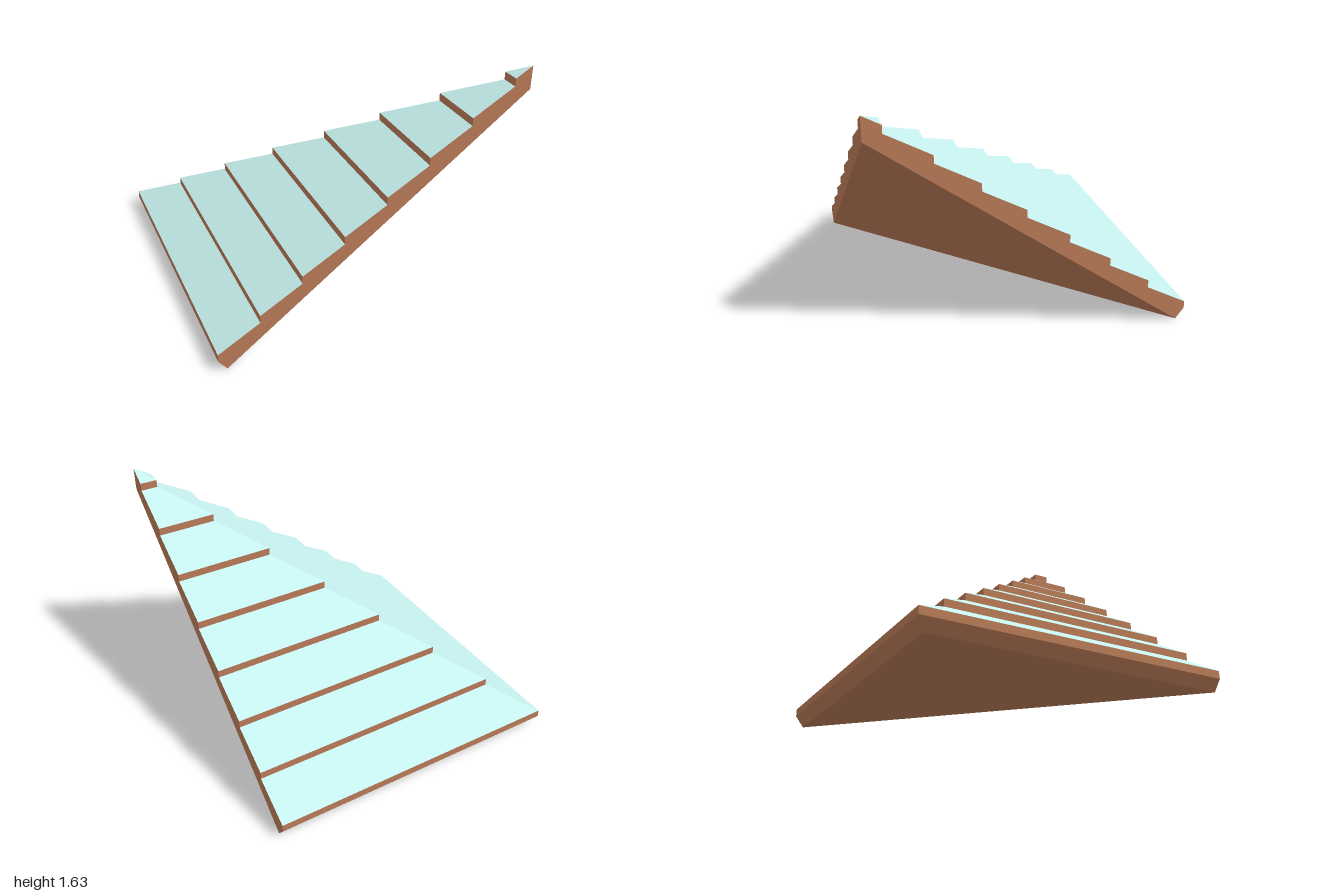
import * as THREE from 'three';
import { mergeGeometries } from 'three/addons/utils/BufferGeometryUtils.js';

const wood = new THREE.MeshStandardMaterial({ color: 0xb97a57 });
const tile = new THREE.MeshStandardMaterial({ color: 0xc5f0ee });

const STEP = 0.27, TILE_RISE = 0.156, LIP = 0.05; // one row of tiles
const EAVE_LOW = 0.07, INNER = -0.945, INNER_TOP = 1.476;

// Flat convex polygon, corners counter-clockwise from outside
function polygon(points) {
  const pos = [];
  for (let i = 1; i < points.length - 1; i++) pos.push(...points[0], ...points[i], ...points[i + 1]);
  const g = new THREE.BufferGeometry();
  g.setAttribute('position', new THREE.Float32BufferAttribute(pos, 3));
  g.computeVertexNormals();
  return g;
}

// Adds the geometry reflected over the hip (x and z swapped)
function withMirror(geometry) {
  const g = geometry.index ? geometry.toNonIndexed() : geometry;
  g.deleteAttribute('uv');
  const p = g.attributes.position;
  const pos = [];
  for (let i = 0; i < p.count; i += 3) {
    for (const k of [i, i + 2, i + 1]) pos.push(p.getZ(k), p.getY(k), p.getX(k));
  }
  const m = new THREE.BufferGeometry();
  m.setAttribute('position', new THREE.Float32BufferAttribute(pos, 3));
  m.computeVertexNormals();
  return mergeGeometries([g, m]);
}

// Strip along the back slope, from the hip to x = 1
function strip(s0, y0, s1, y1) {
  const points = [[1, y0, s0], [s0, y0, s0], [s1, y1, s1]];
  if (s1 < 1) points.push([1, y1, s1]);
  return withMirror(polygon(points));
}

export function createModel() {
  const group = new THREE.Group();
  const add = (name, geometry, material) => {
    const mesh = new THREE.Mesh(geometry, material);
    mesh.name = name;
    group.add(mesh);
  };

  // Rows of tiles, each with a wooden lip below it
  const profile = [[INNER, 0], [1, INNER_TOP]];
  const outer = [[-1, EAVE_LOW]];
  for (let i = 0; i < 8; i++) {
    const s0 = -1 + i * STEP, s1 = Math.min(s0 + STEP, 1);
    const y0 = 0.12 + i * (TILE_RISE + LIP);
    const y1 = y0 + TILE_RISE * (s1 - s0) / STEP;
    add('tileRow' + (i + 1), strip(s0, y0, s1, y1), tile);
    add('rowLip' + (i + 1), strip(s0, y0 - LIP, s0, y0), wood);
    outer.push([s0, y0], [s1, y1]);
  }

  // Stepped end boards on the two cut sides
  profile.push(...outer.reverse());
  const end = new THREE.ShapeGeometry(new THREE.Shape(profile.map(([x, y]) => new THREE.Vector2(x, y))));
  end.translate(0, 0, 1);
  add('endBoards', withMirror(end), wood);

  // Slanted strip under the eaves
  add('eaveUnderside', withMirror(polygon([
    [1, 0, INNER], [INNER, 0, INNER], [-1, EAVE_LOW, -1], [1, EAVE_LOW, -1],
  ])), wood);

  // Leaning inner face and flat bottom
  const a = [INNER, 0, 1], b = [1, 0, INNER], c = [INNER, 0, INNER];
  add('innerFace', polygon([a, b, [1, INNER_TOP, 1]]), wood);
  add('bottom', polygon([c, b, a]), wood);

  return group;
}
